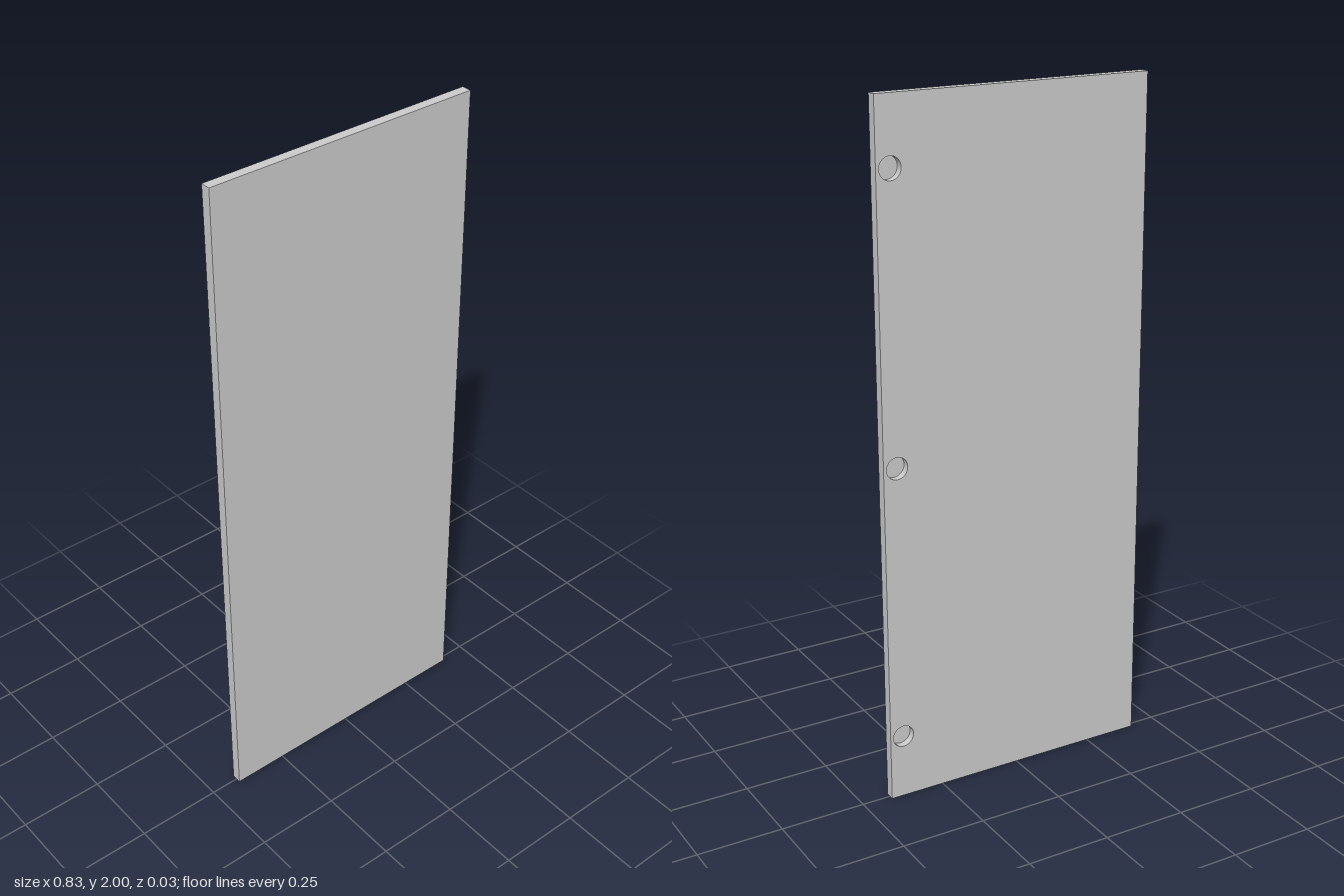
import * as THREE from 'three';

const W = 0.829, H = 2, T = 0.029;          // panel size
const HOLE_R = 0.032, HOLE_DEPTH = 0.022;   // hinge cup bores
const HOLE_X = W / 2 - 0.041;
const HOLE_YS = [0.19, 1, 1.81];
const SEGMENTS = 32;

export function createModel() {
  const model = new THREE.Group();
  model.name = 'cabinetDoor';
  const grey = new THREE.MeshStandardMaterial({ color: 0xcccccc });
  const wallGrey = new THREE.MeshStandardMaterial({ color: 0xcccccc, side: THREE.DoubleSide });

  const add = (parent, name, geometry, material = grey) => {
    const mesh = new THREE.Mesh(geometry, material);
    mesh.name = name;
    parent.add(mesh);
    return mesh;
  };

  // Door panel: front and four edges (the box's last face, its back, is left out)
  const box = new THREE.BoxGeometry(W, H, T);
  box.setIndex(Array.from(box.index.array).slice(0, 30));
  box.clearGroups();
  add(model, 'doorPanel', box).position.y = H / 2;

  // Back face, pierced by the bores; drawn mirrored in x, then turned to face -z
  const outline = new THREE.Shape();
  outline.moveTo(-W / 2, 0).lineTo(W / 2, 0).lineTo(W / 2, H).lineTo(-W / 2, H).closePath();
  for (const y of HOLE_YS) {
    outline.holes.push(new THREE.Path().absarc(-HOLE_X, y, HOLE_R, 0, Math.PI * 2, true));
  }
  const back = new THREE.ShapeGeometry(outline, SEGMENTS / 2).rotateY(Math.PI);
  add(model, 'backFace', back).position.z = -T / 2;

  // Blind hinge bores: round wall and flat floor
  const wall = new THREE.CylinderGeometry(HOLE_R, HOLE_R, HOLE_DEPTH, SEGMENTS, 1, true).rotateX(Math.PI / 2);
  const floor = new THREE.CircleGeometry(HOLE_R, SEGMENTS).rotateY(Math.PI);
  for (const y of HOLE_YS) {
    const bore = new THREE.Group();
    bore.name = 'hingeBore';
    bore.position.set(HOLE_X, y, -T / 2);
    add(bore, 'boreWall', wall, wallGrey).position.z = HOLE_DEPTH / 2;
    add(bore, 'boreFloor', floor).position.z = HOLE_DEPTH;
    model.add(bore);
  }
  return model;
}
